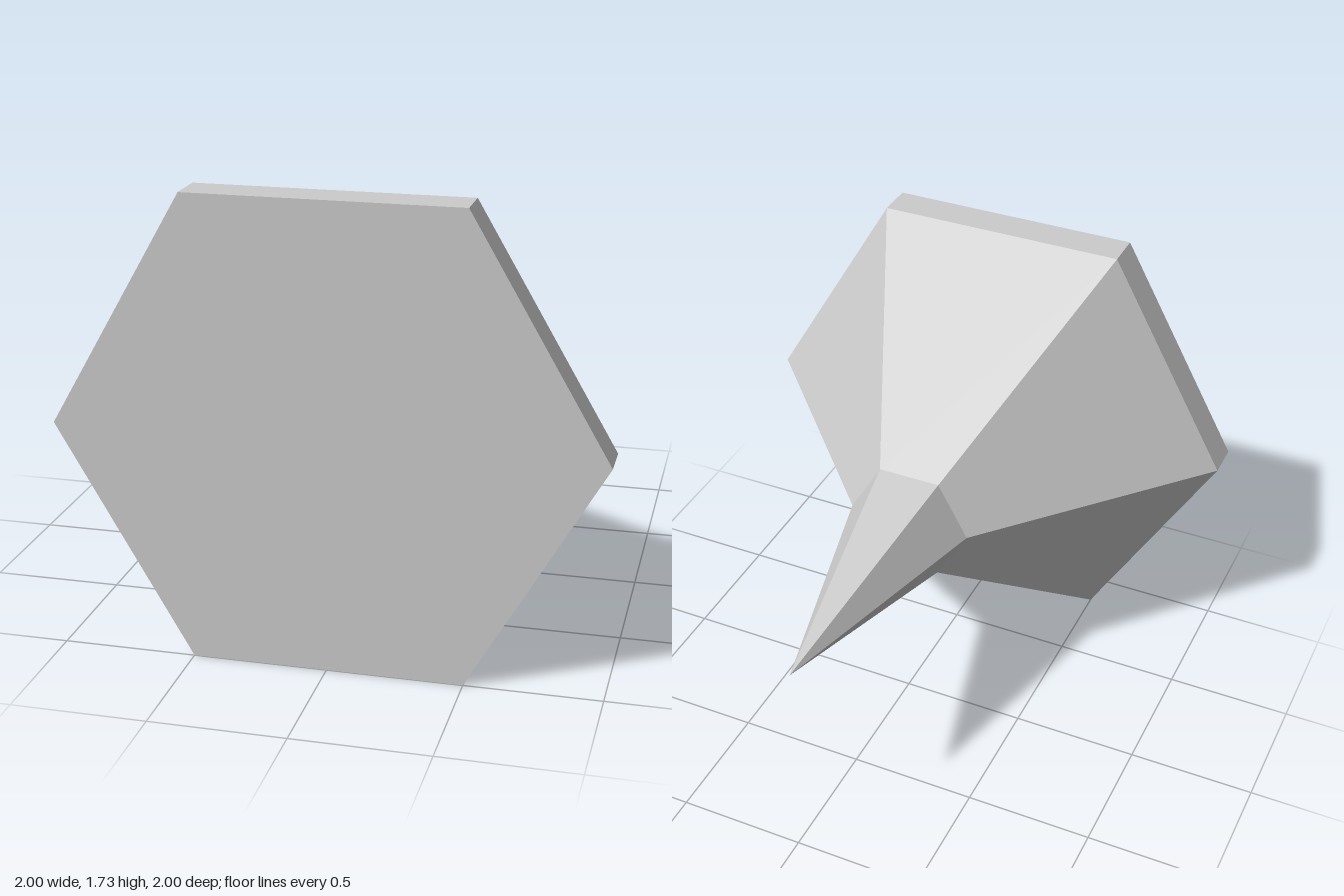
import * as THREE from 'three';

const CENTRE_Y = Math.sqrt(3) / 2; // a flat side of the hexagon rests on y = 0

export function createModel() {
  const group = new THREE.Group();
  group.name = 'hexagonalSpike';

  const grey = new THREE.MeshStandardMaterial({ color: 0xcccccc, flatShading: true });
  grey.name = 'light grey';

  // Open six-sided section along z, with corners on the x axis
  function addSection(name, frontZ, backZ, frontRadius, backRadius) {
    const geometry = new THREE.CylinderGeometry(
      frontRadius, backRadius, frontZ - backZ, 6, 1, true, Math.PI / 2);
    geometry.rotateX(Math.PI / 2);
    const mesh = new THREE.Mesh(geometry, grey);
    mesh.name = name;
    mesh.position.set(0, CENTRE_Y, (frontZ + backZ) / 2);
    group.add(mesh);
  }

  // Flat hexagonal front
  const face = new THREE.Mesh(new THREE.CircleGeometry(1, 6), grey);
  face.name = 'frontFace';
  face.position.set(0, CENTRE_Y, 1);
  group.add(face);

  // Rim, tapering body and pointed tip
  addSection('rim', 1, 0.85, 1, 1);
  addSection('taperedBody', 0.85, 0, 1, 0.25);
  addSection('spikeTip', 0, -1, 0.25, 0);

  return group;
}
